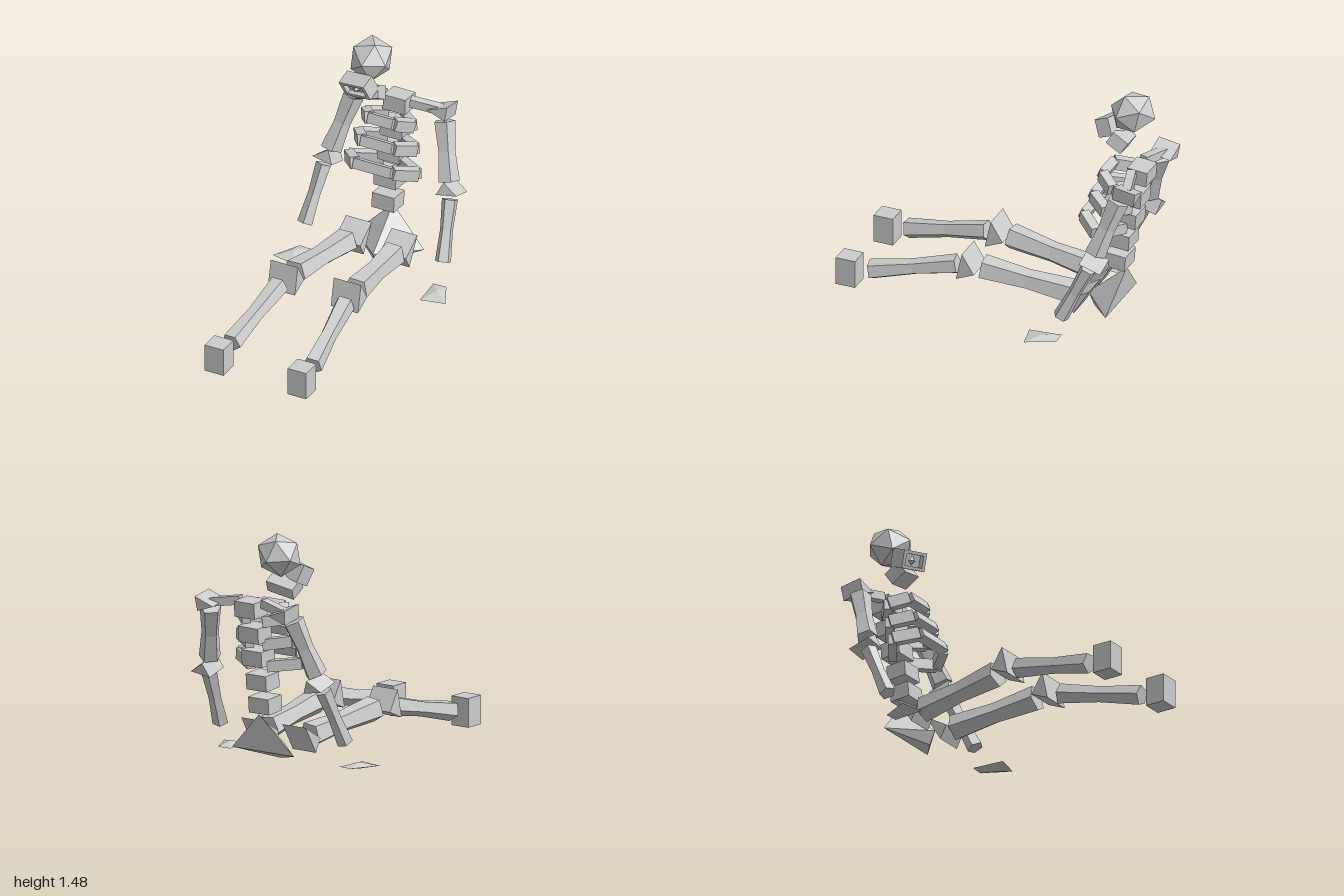
import * as THREE from 'three';

const bone = new THREE.MeshStandardMaterial({ color: 0xcccccc, flatShading: true });
bone.name = 'bone grey';
const V = (x, y, z) => new THREE.Vector3(x, y, z);

export function createModel() {
  const model = new THREE.Group();
  model.name = 'skeleton';

  const add = (geometry, name, parent = model) => {
    const mesh = new THREE.Mesh(geometry, bone);
    mesh.name = name;
    parent.add(mesh);
    return mesh;
  };

  // Five-sided limb bone with a pinched middle, running from a to b
  const limb = (name, a, b, r) => {
    const g = new THREE.CylinderGeometry(r, r, a.distanceTo(b), 5, 2);
    const p = g.attributes.position;
    for (let i = 0; i < p.count; i++) {
      if (Math.abs(p.getY(i)) < 1e-4) p.setXYZ(i, p.getX(i) * 0.8, 0, p.getZ(i) * 0.8);
    }
    const mesh = add(g, name);
    mesh.position.copy(a).add(b).multiplyScalar(0.5);
    mesh.quaternion.setFromUnitVectors(V(0, 1, 0), b.clone().sub(a).normalize());
  };

  // Square bar from a to b
  const bar = (name, a, b, w, h) => {
    const mesh = add(new THREE.BoxGeometry(w, h, a.distanceTo(b)), name);
    mesh.position.copy(a).add(b).multiplyScalar(0.5);
    mesh.lookAt(b);
  };

  const box = (name, size, pos, rot = [0, 0, 0], parent = model) => {
    const mesh = add(new THREE.BoxGeometry(...size), name, parent);
    mesh.position.set(...pos);
    mesh.rotation.set(...rot);
    return mesh;
  };

  // Closed solid from corner points and triangles
  const solid = (name, points, faces) => {
    const g = new THREE.BufferGeometry();
    g.setAttribute('position', new THREE.Float32BufferAttribute(points.flat(), 3));
    g.setIndex(faces);
    const flat = g.toNonIndexed();
    flat.computeVertexNormals();
    return add(flat, name);
  };

  // Triangular joint: a triangle extruded by length
  const wedge = (points, length) => {
    const shape = new THREE.Shape(points.map(([x, y]) => new THREE.Vector2(x, y)));
    return new THREE.ExtrudeGeometry(shape, { depth: length, bevelEnabled: false }).translate(0, 0, -length / 2);
  };

  // Joint whose triangle is given in (z, y), lying across x
  const crossJoint = (name, x, points, length) => {
    add(wedge(points.map(([z, y]) => [-z, y]), length).rotateY(Math.PI / 2).translate(x, 0, 0), name);
  };

  // Joint whose triangle is given in (x, y), lying along z and tipped up in front
  const armJoint = (name, z, points, length, tip) => {
    const cy = points.reduce((s, p) => s + p[1], 0) / 3;
    const g = wedge(points.map(([x, y]) => [x, y - cy]), length);
    g.rotateX(-tip).translate(0, cy, z);
    add(g, name);
  };

  // Pelvis
  solid('pelvis',
    [[0, 0.345, -0.8], [-0.24, 0.1, -0.76], [0.24, 0.1, -0.76], [0, 0.115, -0.54], [0, 0.03, -0.58]],
    [0, 2, 1, 0, 3, 2, 0, 1, 3, 3, 4, 2, 3, 1, 4, 4, 1, 2]);

  // Spine
  [[0.405, -0.75], [0.555, -0.775], [0.715, -0.82], [0.87, -0.855], [1.035, -0.895]].forEach(([y, z]) => {
    box('vertebra', [0.155, 0.1, 0.135], [-0.008, y, z], [-0.08, 0, 0]);
  });

  // Ribs: front bar, side bars and back bars; each row is front, side, back
  const ribRows = [
    [[0.087, 1.01, -0.67], [0.165, 0.968, -0.77], [0.06, 0.95, -0.86]],
    [[0.11, 0.865, -0.62], [0.2, 0.825, -0.74], [0.05, 0.8, -0.84]],
    [[0.132, 0.725, -0.565], [0.24, 0.682, -0.69], [0.06, 0.66, -0.81]],
  ];
  for (const row of ribRows) {
    box('frontRib', [row[0][0] * 2, 0.065, 0.06], [-0.008, row[0][1], row[0][2]], [-0.4, 0, 0]);
    for (const s of [-1, 1]) {
      const [f, m, b] = row.map(([x, y, z]) => V(s * x - 0.008, y, z));
      bar('sideRib', f, m, 0.06, 0.075);
      bar('backRib', m, b, 0.055, 0.07);
    }
  }

  // Arms and legs
  for (const s of [-1, 1]) {
    const o = s < 0 ? -0.008 : 0;
    const at = (x, y, z) => V(s * x + o, y, z);
    const tri = (pts) => pts.map(([x, y]) => [s * x + o, y]);

    bar('collarbone', at(0.085, 1.07, -0.87), at(0.28, 1.04, -0.92), 0.055, 0.055);
    armJoint('shoulder', -0.925, tri([[0.345, 1.09], [0.21, 1.04], [0.335, 0.995]]), 0.145, 0.16);
    limb('upperArm', at(0.315, 0.99, -0.88), at(0.408, 0.645, -0.765), 0.07);
    armJoint('elbow', -0.77, tri([[0.4, 0.64], [0.5, 0.575], [0.36, 0.55]]), 0.15, 0.28);
    limb('forearm', at(0.437, 0.54, -0.73), at(0.478, 0.19, -0.565), 0.052);

    // Hand: flat kite with a raised middle above and below
    const hand = [[0.51, 0.025, -0.55], [0.42, 0.025, -0.545], [0.44, 0.025, -0.335], [0.6, 0.025, -0.37],
      [0.5, 0.05, -0.45], [0.5, 0.008, -0.45]].map(([x, y, z]) => [s * x + o, y, z]);
    const faces = [];
    for (let i = 0; i < 4; i++) {
      const j = (i + 1) % 4;
      faces.push(...(s > 0 ? [i, j, 4, j, i, 5] : [j, i, 4, i, j, 5]));
    }
    solid('hand', hand, faces);

    crossJoint('hip', s * 0.16, [[-0.505, 0.175], [-0.55, 0.09], [-0.655, 0.265]], 0.18);
    limb('thigh', at(0.16, 0.183, -0.505), at(0.211, 0.253, 0.075), 0.085);
    crossJoint('knee', s < 0 ? -0.232 : 0.21, [[0.218, 0.188], [0.178, 0.37], [0.098, 0.24]], 0.19);
    limb('shin', V(s < 0 ? -0.236 : 0.226, 0.247, 0.24), V(s < 0 ? -0.27 : 0.298, 0.12, 0.795), 0.066);
    box('foot', [0.13, 0.185, 0.13], [s < 0 ? -0.28 : 0.301, 0.1, 0.935]);
  }

  // Skull
  const skull = add(new THREE.IcosahedronGeometry(0.148, 0), 'skull');
  skull.scale.set(0.97, 0.92, 1.02);
  skull.position.set(-0.14, 1.365, -0.78);
  skull.rotation.set(0.35, 0.2, 0.25);

  // Face block with a framed hollow and nose
  const face = new THREE.Group();
  face.name = 'face';
  face.position.set(-0.15, 1.243, -0.635);
  face.rotation.set(0.4, -0.1, 0.24);
  model.add(face);
  box('faceBlock', [0.2, 0.115, 0.07], [0, 0, -0.015], [0, 0, 0], face);
  for (const s of [-1, 1]) {
    box('faceRim', [0.2, 0.02, 0.03], [0, s * 0.0475, 0.035], [0, 0, 0], face);
    box('faceSide', [0.025, 0.075, 0.03], [s * 0.0875, 0, 0.035], [0, 0, 0], face);
  }
  const nose = add(new THREE.OctahedronGeometry(0.03), 'nose', face);
  nose.position.z = 0.025;

  // Jaw
  box('jaw', [0.19, 0.085, 0.115], [-0.125, 1.165, -0.705], [-0.55, 0, 0.24]);

  return model;
}
